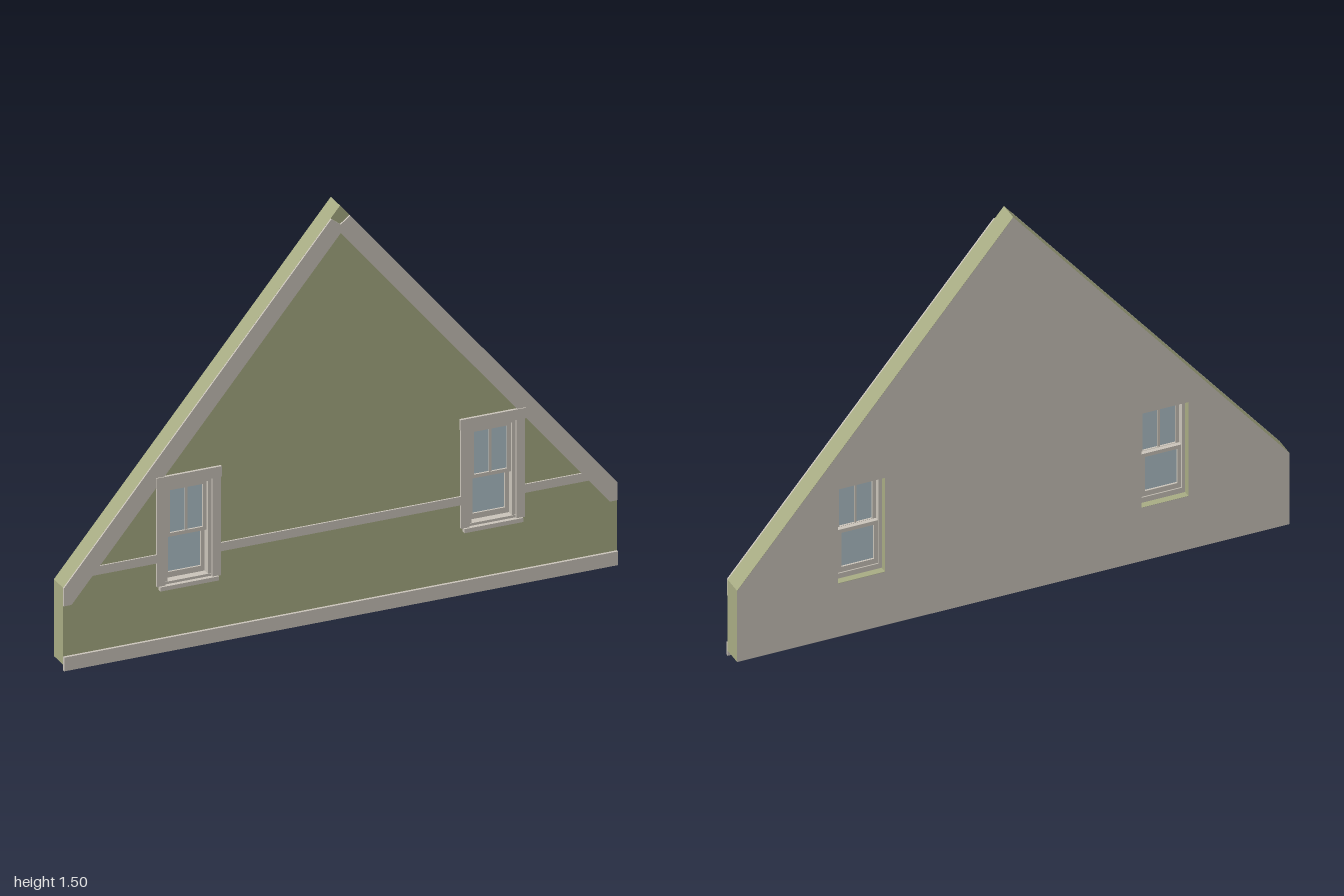
import * as THREE from 'three';

const mat = (name, color, side = THREE.FrontSide) => {
  const m = new THREE.MeshStandardMaterial({ color, side });
  m.name = name;
  return m;
};

export function createModel() {
  const green = mat('green siding', 0xa6aa82);
  const trim = mat('beige trim', 0xc8c2b8);
  const glass = mat('window glass', 0xafc1c9, THREE.DoubleSide);

  const root = new THREE.Group();
  root.name = 'gableWall';
  const WIN_X = 0.549, FRONT = 0.03, BACK = -0.045;

  const add = (parent, name, geo, material) => {
    const m = new THREE.Mesh(geo, material);
    m.name = name;
    parent.add(m);
    return m;
  };
  // Box given by its two opposite corners
  const box = (parent, name, material, x0, x1, y0, y1, z0, z1) => {
    const g = new THREE.BoxGeometry(x1 - x0, y1 - y0, z1 - z0);
    g.translate((x0 + x1) / 2, (y0 + y1) / 2, (z0 + z1) / 2);
    return add(parent, name, g, material);
  };
  const polygon = (pts) => new THREE.Shape(pts.map(([x, y]) => new THREE.Vector2(x, y)));
  const slab = (shape, z0, z1) =>
    new THREE.ExtrudeGeometry(shape, { depth: z1 - z0, bevelEnabled: false }).translate(0, 0, z0);

  // Gable wall with two window openings
  const wall = polygon([[-1, 0.02], [1, 0.02], [1, 0.3], [0, 1.5], [-1, 0.3]]);
  for (const s of [-1, 1]) {
    const a = s * WIN_X - 0.085, b = s * WIN_X + 0.085;
    wall.holes.push(new THREE.Path([[a, 0.23], [a, 0.6], [b, 0.6], [b, 0.23]]
      .map(([x, y]) => new THREE.Vector2(x, y))));
  }
  add(root, 'wall', slab(wall, BACK + 0.001, FRONT), green);
  // Plain interior face
  add(root, 'interiorFace', new THREE.ShapeGeometry(wall).rotateY(Math.PI).translate(0, 0, BACK), trim);

  // Skirt board and mid band, broken at the windows
  box(root, 'skirtBoard', trim, -1, 1, 0, 0.05, FRONT, 0.04);
  box(root, 'midBand', trim, -0.434, 0.434, 0.326, 0.357, FRONT, 0.036);
  for (const s of [-1, 1]) {
    const [a, b] = s < 0 ? [-0.91, -0.664] : [0.664, 0.91];
    box(root, 'sideBand', trim, a, b, 0.326, 0.357, FRONT, 0.0355);
    // Sloping rake board, square-cut near the peak
    add(root, 'rakeBoard', slab(polygon([
      [s, 0.3], [s, 0.235], [s * 0.972, 0.235], [0, 1.402], [0, 1.433], [s * 0.034, 1.459],
    ]), FRONT, 0.036), trim);
  }

  // Rectangular sash: two stiles, two rails and a pane
  const sash = (parent, name, x0, x1, y0, y1, z0, z1, w) => {
    const g = new THREE.Group();
    g.name = name;
    parent.add(g);
    box(g, 'stile', trim, x0, x0 + w, y0, y1, z0, z1);
    box(g, 'stile', trim, x1 - w, x1, y0, y1, z0, z1);
    box(g, 'rail', trim, x0 + w, x1 - w, y0, y0 + w, z0, z1);
    box(g, 'rail', trim, x0 + w, x1 - w, y1 - w, y1, z0, z1);
    const zc = (z0 + z1) / 2;
    box(g, 'pane', glass, x0 + w, x1 - w, y0 + w, y1 - w, zc - 0.001, zc + 0.001);
    return g;
  };

  for (const s of [-1, 1]) {
    const win = new THREE.Group();
    win.name = s < 0 ? 'rightWindow' : 'leftWindow';
    win.position.x = s * WIN_X;
    root.add(win);

    // Outer casing, head and projecting sill
    for (const t of [-1, 1]) {
      const [a, b] = t < 0 ? [-0.115, -0.085] : [0.085, 0.115];
      box(win, 'sideCasing', trim, a, b, 0.24, 0.6, FRONT, 0.038);
      const [c, d] = t < 0 ? [-0.085, -0.073] : [0.073, 0.085];
      box(win, 'jamb', trim, c, d, 0.24, 0.6, -0.018, 0.028);
    }
    box(win, 'headCasing', trim, -0.118, 0.118, 0.6, 0.638, FRONT, 0.04);
    box(win, 'headJamb', trim, -0.073, 0.073, 0.588, 0.6, -0.018, 0.028);
    box(win, 'sill', trim, -0.106, 0.106, 0.226, 0.241, FRONT, 0.045);
    box(win, 'innerSill', trim, -0.085, 0.085, 0.23, 0.25, -0.018, FRONT);

    // Double-hung sashes, the upper one in front with a centre bar
    const upper = sash(win, 'upperSash', -0.073, 0.073, 0.406, 0.588, 0.002, 0.018, 0.013);
    box(upper, 'centreBar', trim, -0.004, 0.004, 0.419, 0.575, 0.004, 0.016);
    const lower = sash(win, 'lowerSash', -0.073, 0.073, 0.25, 0.418, -0.014, 0.002, 0.014);
    box(lower, 'bottomRail', trim, -0.059, 0.059, 0.264, 0.27, -0.014, 0.002);
  }
  return root;
}
